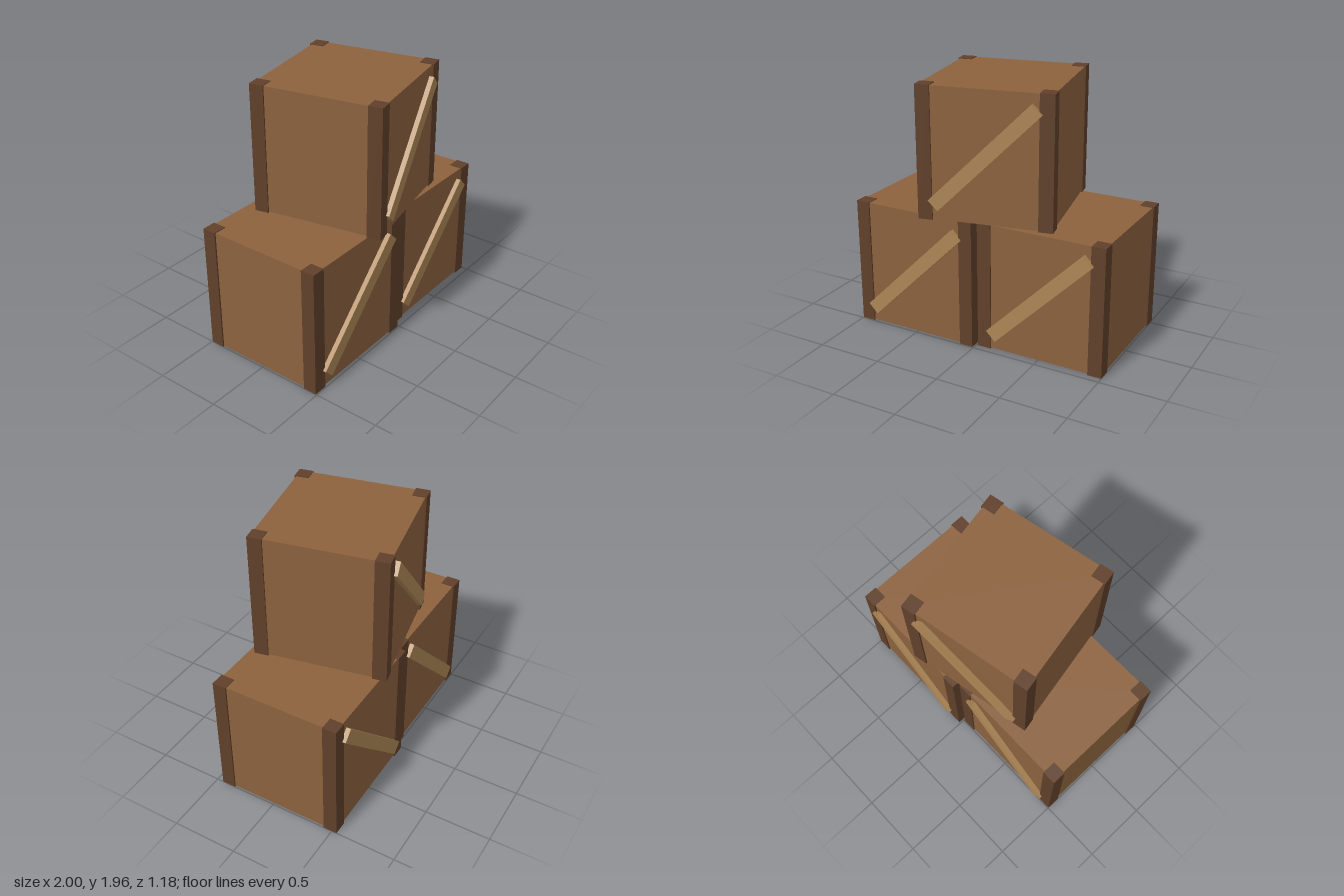
import * as THREE from 'three';

const SIZE = 0.988, HEIGHT = 0.976, POST = 0.106, BODY = 0.966;

const paint = (color) => new THREE.MeshStandardMaterial({ color, flatShading: true });

export function createModel() {
  const bodyMat = paint(0x8c623e), postMat = paint(0x60402a), braceMat = paint(0xad8656);

  const box = (name, size, position, material) => {
    const mesh = new THREE.Mesh(new THREE.BoxGeometry(...size), material);
    mesh.name = name;
    mesh.position.set(...position);
    return mesh;
  };

  // One crate: body, four corner posts, a diagonal brace on front and back
  const crate = (name, x, y, z, turn = 0) => {
    const group = new THREE.Group();
    group.name = name;
    const mid = HEIGHT / 2, corner = (SIZE - POST) / 2;
    group.add(box('crateBody', [BODY, BODY, BODY], [0, mid, 0], bodyMat));
    for (const sx of [-1, 1]) {
      for (const sz of [-1, 1]) {
        group.add(box('cornerPost', [POST, HEIGHT, POST], [sx * corner, mid, sz * corner], postMat));
      }
    }
    for (const sz of [-1, 1]) {
      const brace = box(sz > 0 ? 'frontBrace' : 'backBrace', [1.06, 0.102, 0.04], [0, mid + 0.003, sz * 0.499], braceMat);
      brace.rotation.z = Math.PI / 4;
      group.add(brace);
    }
    group.position.set(x, y, z);
    group.rotation.y = turn;
    return group;
  };

  const model = new THREE.Group();
  model.name = 'stackedCrates';
  model.add(
    crate('rightCrate', -0.506, 0, -0.002),
    crate('leftCrate', 0.506, 0, -0.045),
    crate('topCrate', -0.002, 0.979, 0.002, 0.2)
  );
  return model;
}
